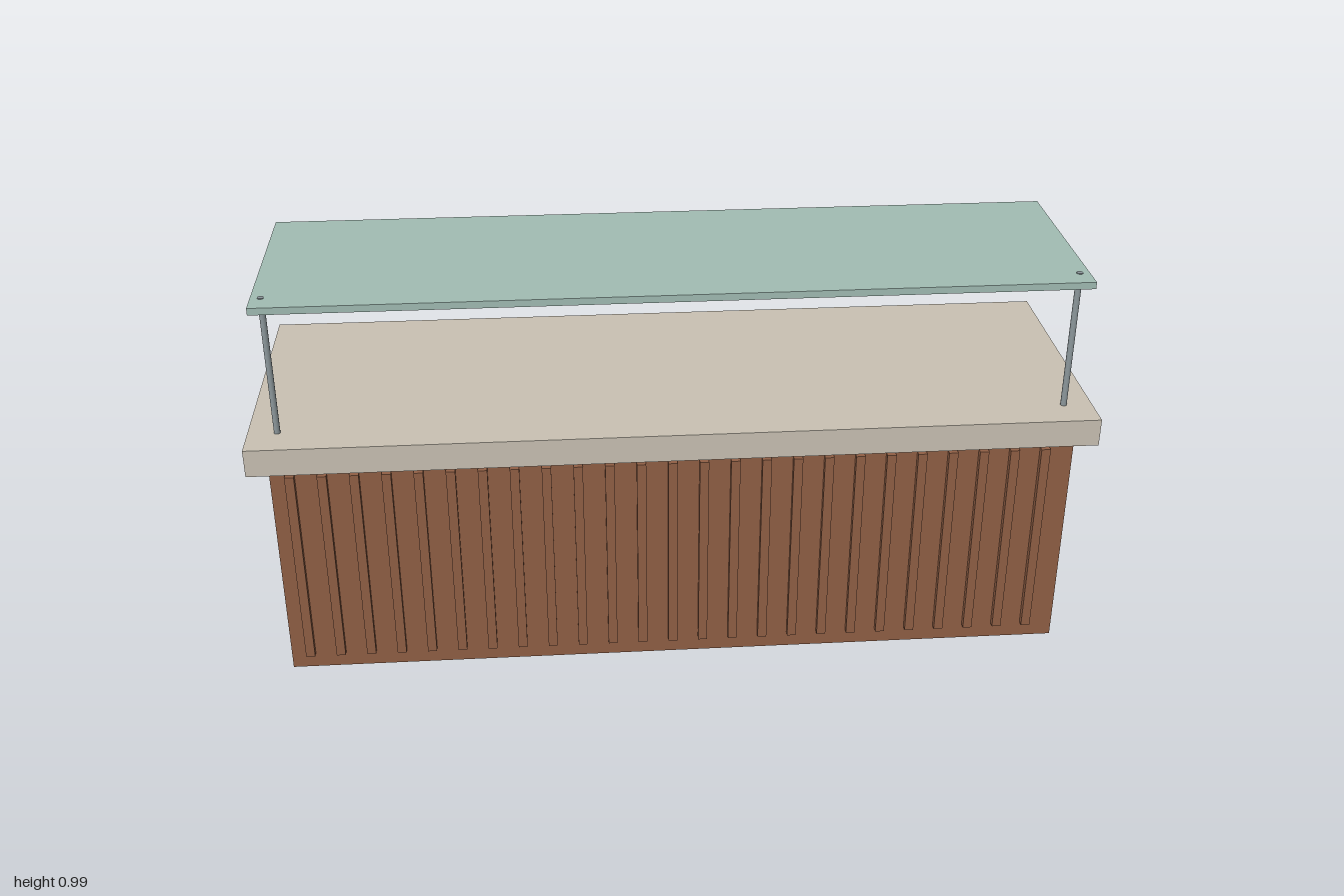
import * as THREE from 'three';

const material = (name, color) => {
  const m = new THREE.MeshStandardMaterial({ color });
  m.name = name;
  return m;
};

export function createModel() {
  const model = new THREE.Group();
  model.name = 'barCounter';
  const wood = material('brown wood', 0x905f45);
  const stone = material('beige stone', 0xc9c1b3);
  const glass = material('pale green glass', 0xa1bcb3);
  const metal = material('grey metal', 0x8c979b);

  // Box given by its minimum and maximum corners
  const addBox = (name, mat, [x0, y0, z0], [x1, y1, z1], parent = model) => {
    const mesh = new THREE.Mesh(new THREE.BoxGeometry(x1 - x0, y1 - y0, z1 - z0), mat);
    mesh.position.set((x0 + x1) / 2, (y0 + y1) / 2, (z0 + z1) / 2);
    mesh.name = name;
    parent.add(mesh);
  };

  addBox('counterBody', wood, [-0.955, 0, -0.293], [0.955, 0.574, 0.295]);
  addBox('countertop', stone, [-1, 0.574, -0.34], [1, 0.642, 0.34]);
  addBox('glassShelf', glass, [-0.955, 0.967, -0.202], [0.955, 0.984, 0.31]);

  // Vertical slats along the front
  const slats = new THREE.Group();
  slats.name = 'frontSlats';
  model.add(slats);
  for (let i = 0; i < 25; i++) {
    const x = -0.908 + i * 0.0747;
    addBox('slat', wood, [x - 0.011, 0.04, 0.285], [x + 0.011, 0.55, 0.31], slats);
  }

  // Posts that carry the shelf, just showing through its top
  for (const side of [-1, 1]) {
    const post = new THREE.Mesh(new THREE.CylinderGeometry(0.0075, 0.0075, 0.345, 16), metal);
    post.position.set(side * 0.931, 0.8135, 0.256);
    post.name = side > 0 ? 'leftPost' : 'rightPost';
    model.add(post);
  }
  return model;
}
